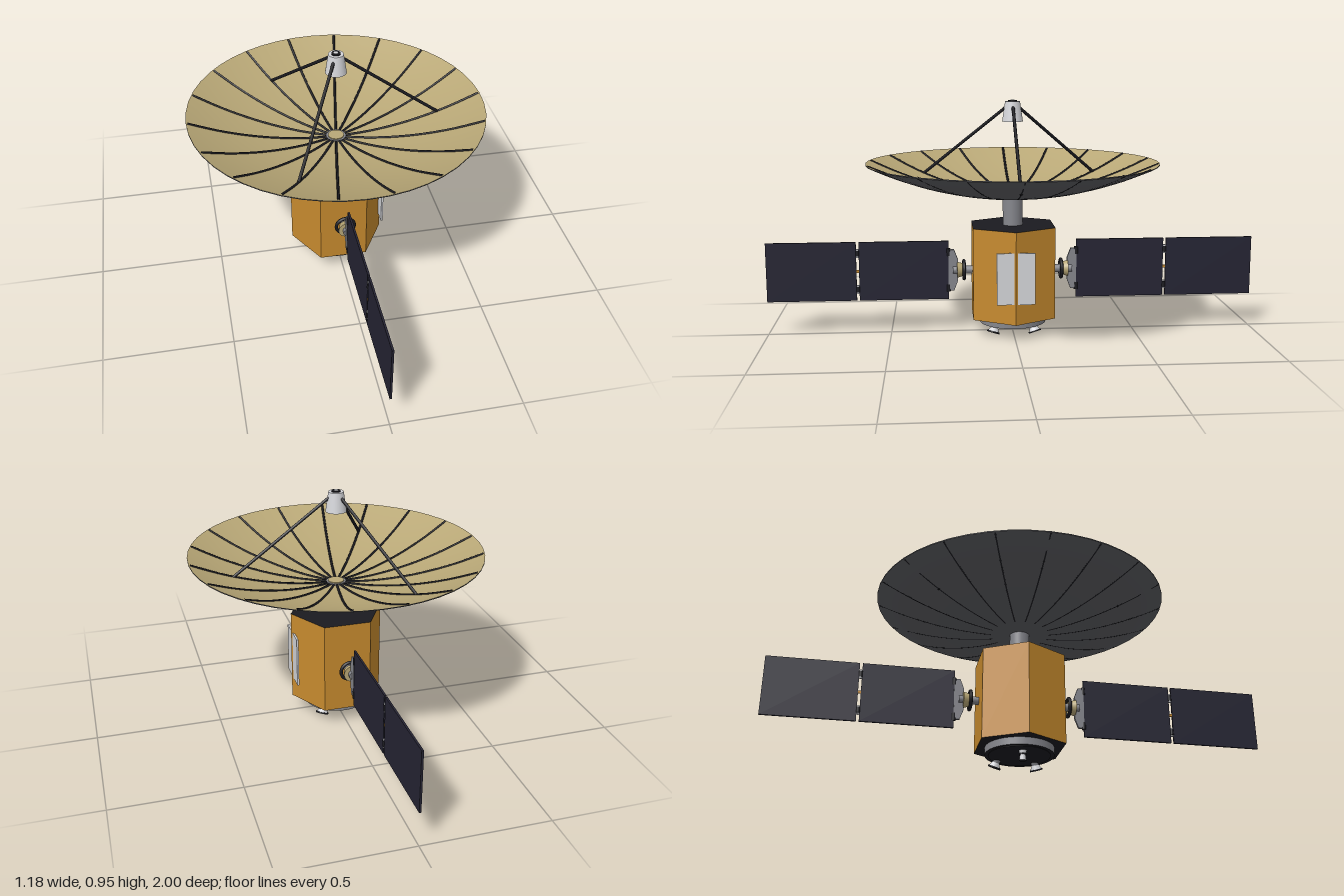
import * as THREE from 'three';

const mat = (name, color) => {
  const m = new THREE.MeshStandardMaterial({ color });
  m.name = name;
  return m;
};

export function createModel() {
  const gold = mat('gold foil', 0xc68a2e);
  const black = mat('black', 0x1b1b20);
  const navy = mat('solar cell navy', 0x252433);
  const grey = mat('mid grey', 0x85868c);
  const darkGrey = mat('dish back grey', 0x5c5d61);
  const tan = mat('dish tan', 0xb9a877);
  const white = mat('pale grey', 0xd4d5d9);

  const model = new THREE.Group();
  model.name = 'satellite';
  const add = (parent, name, geometry, material, x = 0, y = 0, z = 0) => {
    const m = new THREE.Mesh(geometry, material);
    m.name = name;
    m.position.set(x, y, z);
    parent.add(m);
    return m;
  };
  const group = (name, x = 0, y = 0, z = 0) => {
    const g = new THREE.Group();
    g.name = name;
    g.position.set(x, y, z);
    model.add(g);
    return g;
  };
  const box = (x, y, z) => new THREE.BoxGeometry(x, y, z);
  const cyl = (top, bottom, h, n = 24) => new THREE.CylinderGeometry(top, bottom, h, n);
  const rod = (parent, name, a, b, r, material) => {
    const d = b.clone().sub(a);
    const m = add(parent, name, cyl(r, r, d.length(), 8), material);
    m.position.copy(a).addScaledVector(d, 0.5);
    m.quaternion.setFromUnitVectors(new THREE.Vector3(0, 1, 0), d.normalize());
  };

  // Hexagonal body with flat facets and black ends
  const hex = new THREE.CylinderGeometry(0.191, 0.191, 0.375, 6, 1, false, Math.PI / 2).toNonIndexed();
  hex.computeVertexNormals();
  add(model, 'body', hex, [gold, black, black], 0, 0.2575, 0);
  // Flat radiator, with the body corner just breaking through it
  add(model, 'radiator', box(0.008, 0.208, 0.152), white, 0.183, 0.258, 0);
  add(model, 'mast', cyl(0.04, 0.04, 0.125, 32), grey, 0, 0.507, 0);
  add(model, 'baseRing', cyl(0.137, 0.137, 0.03, 40), [grey, grey, black], 0, 0.056, 0);
  add(model, 'basePlate', cyl(0.122, 0.122, 0.004, 40), black, 0, 0.041, 0);

  // Two tilted engine bells and one straight thruster
  for (const s of [1, -1]) {
    const e = group('engine', 0.077, 0.04, s * 0.077);
    e.quaternion.setFromUnitVectors(new THREE.Vector3(0, -1, 0),
      new THREE.Vector3(0.29, -0.91, s * 0.29).normalize());
    add(e, 'engineNeck', cyl(0.015, 0.015, 0.03, 16), grey);
    add(e, 'engineBell', cyl(0.014, 0.025, 0.022, 20), [white, white, black], 0, -0.017, 0);
    add(e, 'engineLip', cyl(0.026, 0.026, 0.006, 20), black, 0, -0.027, 0);
  }
  const thruster = group('thruster', -0.065, 0, 0);
  add(thruster, 'thrusterNeck', cyl(0.016, 0.014, 0.018, 16), white, 0, 0.034, 0);
  add(thruster, 'thrusterCollar', cyl(0.015, 0.015, 0.006, 16), black, 0, 0.025, 0);
  add(thruster, 'thrusterBell', cyl(0.011, 0.014, 0.024, 16), [white, white, black], 0, 0.012, 0);

  // Parabolic dish: dark back, tan bowl and raised ribs
  const R = 0.59;
  const dishY = (r) => 0.56 + 0.138 * (r / R) ** 2;
  const profile = (lift) => Array.from({ length: 17 }, (_, i) =>
    new THREE.Vector2(R * i / 16, dishY(R * i / 16) + lift));
  add(model, 'dishBack', new THREE.LatheGeometry(profile(0), 48), darkGrey);
  add(model, 'dishBowl', new THREE.LatheGeometry(profile(0.004).reverse(), 48), tan);
  add(model, 'dishRim', new THREE.CylinderGeometry(R, R, 0.004, 48, 1, true), darkGrey, 0, dishY(R) + 0.002, 0);
  const ribCurve = new THREE.CatmullRomCurve3([0.02, 0.15, 0.3, 0.45, 0.585].map(
    (r) => new THREE.Vector3(r, dishY(r) + 0.004, 0)));
  const ribGeometry = new THREE.TubeGeometry(ribCurve, 14, 0.005, 6);
  for (let i = 0; i < 18; i++) {
    add(model, 'dishRib', ribGeometry, black).rotation.y = i * Math.PI / 9;
  }
  add(model, 'dishHub', cyl(0.032, 0.032, 0.012), tan, 0, 0.567, 0);

  // Feed horn on three struts
  for (let i = 0; i < 3; i++) {
    const a = i * Math.PI * 2 / 3;
    const at = (r, y) => new THREE.Vector3(r * Math.cos(a), y, r * Math.sin(a));
    rod(model, 'feedStrut', at(0.42, 0.631), at(0.022, 0.927), 0.0065, black);
  }
  add(model, 'feedHorn', cyl(0.03, 0.042, 0.08, 28), [white, white, black], 0, 0.905, 0);
  add(model, 'feedCap', cyl(0.018, 0.018, 0.004, 20), black, 0, 0.947, 0);
  add(model, 'feedTip', cyl(0.009, 0.009, 0.003, 14), white, 0, 0.9495, 0);

  // Solar wings, mirrored front and back
  for (const s of [1, -1]) {
    const wing = group('solarWing', 0, 0.258, 0);
    wing.rotation.y = s > 0 ? 0 : Math.PI;
    const along = (name, geometry, material, z) => {
      add(wing, name, geometry, material, 0, 0, z).rotation.x = Math.PI / 2;
    };
    along('wingShaft', cyl(0.016, 0.016, 0.09, 16), grey, 0.2);
    along('wingCollar', cyl(0.033, 0.024, 0.03), tan, 0.213);
    add(wing, 'wingRing', new THREE.TorusGeometry(0.037, 0.007, 8, 28), black, 0, 0, 0.2);
    // Yoke with tapered ends
    const yoke = new THREE.Shape([[0.225, -0.045], [0.24, -0.085], [0.255, -0.085], [0.264, -0.06],
      [0.264, 0.06], [0.255, 0.085], [0.24, 0.085], [0.225, 0.045]].map(([z, y]) => new THREE.Vector2(-z, y)));
    const yokeGeometry = new THREE.ExtrudeGeometry(yoke, { depth: 0.012, bevelEnabled: false });
    yokeGeometry.translate(0, 0, -0.006);
    add(wing, 'yoke', yokeGeometry, grey).rotation.y = Math.PI / 2;
    for (const [a, b] of [[0.263, 0.627], [0.638, 1]]) {
      add(wing, 'solarPanel', box(0.008, 0.243, b - a), navy, 0, 0, (a + b) / 2);
    }
    for (const y of [0.075, -0.075]) {
      add(wing, 'yokeHinge', cyl(0.008, 0.008, 0.03, 12), black, 0, y, 0.263);
      add(wing, 'panelHinge', cyl(0.008, 0.008, 0.024, 12), black, 0, y, 0.6325);
      for (const d of [0.014, -0.014]) {
        add(wing, 'hingeKnuckle', cyl(0.006, 0.006, 0.007, 12), white, 0, y + d, 0.6325);
      }
    }
    add(wing, 'panelCable', box(0.004, 0.012, 0.014), gold, 0, 0, 0.6325);
  }
  return model;
}
